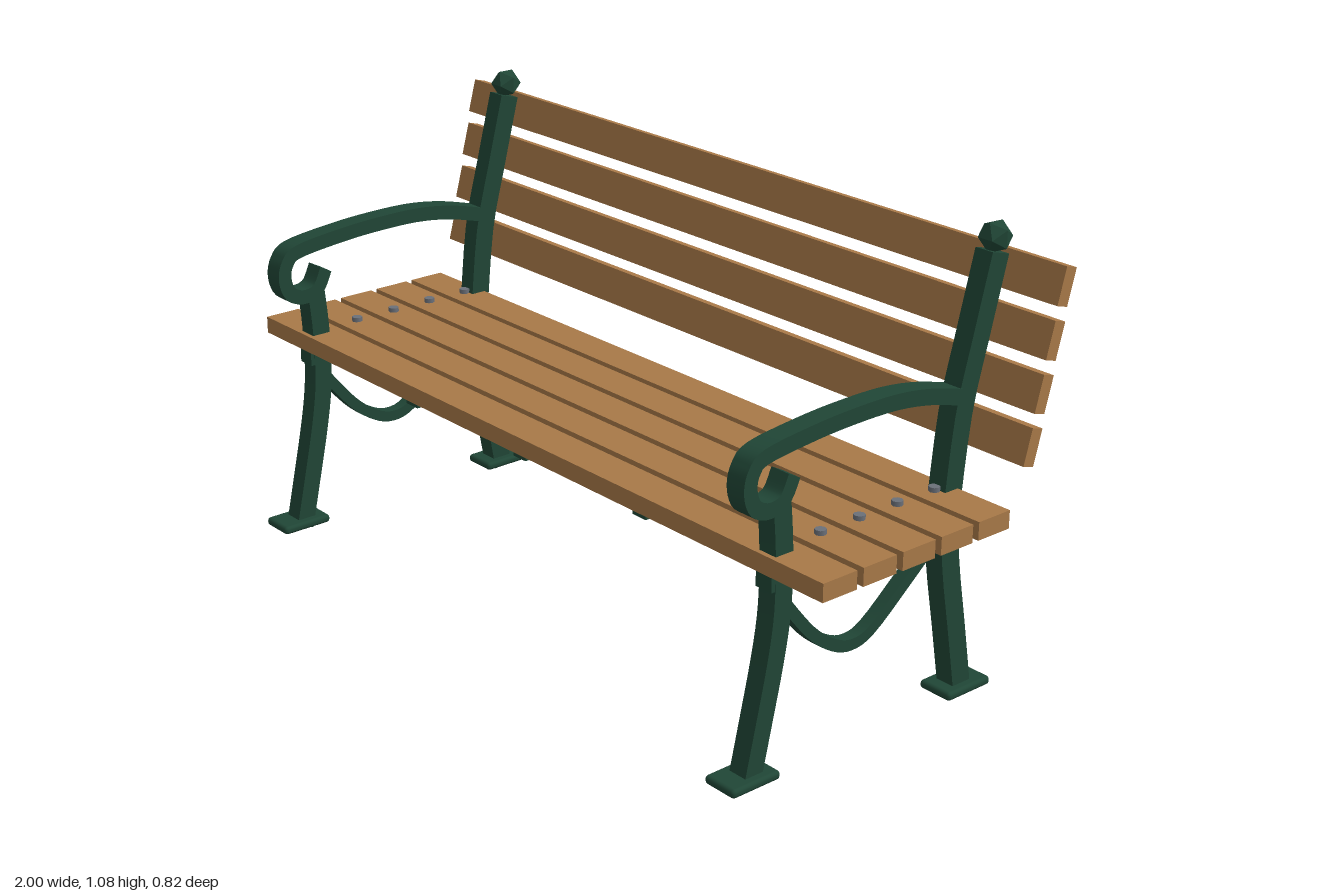
import * as THREE from 'three';
import { toCreasedNormals } from 'three/addons/utils/BufferGeometryUtils.js';
import { RoundedBoxGeometry } from 'three/addons/geometries/RoundedBoxGeometry.js';

const iron = new THREE.MeshStandardMaterial({ name: 'green iron', color: 0x204636 });
const wood = new THREE.MeshStandardMaterial({ name: 'brown wood', color: 0xa87948 });
const steel = new THREE.MeshStandardMaterial({ name: 'grey steel', color: 0x6b7079 });

function add(parent, name, geometry, material, x = 0, y = 0, z = 0) {
  const mesh = new THREE.Mesh(geometry, material);
  mesh.name = name;
  mesh.position.set(x, y, z);
  parent.add(mesh);
  return mesh;
}

// Flat bar following a smooth path of [z, y] points, centred on x = 0
function bar(path, width, depth, samples = 20) {
  const curve = new THREE.SplineCurve(path.map(([z, y]) => new THREE.Vector2(-z, y)));
  const near = [], far = [];
  for (let i = 0; i <= samples; i++) {
    const p = curve.getPoint(i / samples);
    const t = curve.getTangent(i / samples);
    const n = new THREE.Vector2(-t.y, t.x).multiplyScalar(width / 2);
    near.push(p.clone().add(n));
    far.unshift(p.clone().sub(n));
  }
  const shape = new THREE.Shape([...near, ...far]);
  const geometry = new THREE.ExtrudeGeometry(shape, { depth, bevelEnabled: false });
  geometry.translate(0, 0, -depth / 2).rotateY(Math.PI / 2);
  return toCreasedNormals(geometry, 0.6);
}

const frontLegPath = [[0.338, 0.004], [0.31, 0.13], [0.282, 0.26], [0.266, 0.36], [0.262, 0.45], [0.265, 0.54], [0.273, 0.625]];
const rearPostPath = [[-0.295, 0.004], [-0.265, 0.17], [-0.237, 0.32], [-0.227, 0.42], [-0.232, 0.52], [-0.252, 0.69], [-0.29, 0.84], [-0.336, 1.015]];
const armPath = [[-0.24, 0.719], [-0.139, 0.745], [-0.04, 0.758], [0.074, 0.759], [0.188, 0.753], [0.318, 0.737],
  [0.352, 0.712], [0.361, 0.673], [0.346, 0.633], [0.307, 0.617], [0.267, 0.63], [0.243, 0.675]];
const bracePath = [[0.255, 0.4], [0.173, 0.302], [0.105, 0.25], [0.048, 0.233], [-0.01, 0.25], [-0.11, 0.328], [-0.22, 0.42]];

// One cast end frame
function endFrame(name, x) {
  const frame = new THREE.Group();
  frame.name = name;
  frame.position.x = x;
  add(frame, 'frontLeg', bar(frontLegPath, 0.048, 0.048), iron);
  add(frame, 'rearPost', bar(rearPostPath, 0.053, 0.048), iron);
  add(frame, 'armrest', bar(armPath, 0.036, 0.05, 48), iron);
  add(frame, 'curvedBrace', bar(bracePath, 0.027, 0.03, 24), iron);
  add(frame, 'seatRail', new THREE.BoxGeometry(0.046, 0.055, 0.545), iron, 0, 0.46, 0.024);
  for (const z of [0.342, -0.297]) {
    add(frame, 'footPlate', new RoundedBoxGeometry(0.09, 0.021, 0.134, 2, 0.009), iron, 0, 0.019, z);
  }
  const finial = add(frame, 'finial', new THREE.IcosahedronGeometry(0.038, 0), iron, 0, 1.044, -0.343);
  finial.rotation.y = Math.PI / 2;
  return frame;
}

export function createModel() {
  const bench = new THREE.Group();
  bench.name = 'bench';
  const frameX = 0.83;
  bench.add(endFrame('leftFrame', frameX), endFrame('rightFrame', -frameX));

  // Seat slats and their bolts; the front bolts sit inside the legs
  for (let i = 0; i < 5; i++) {
    const z = 0.252 - i * 0.112;
    add(bench, 'seatSlat', new THREE.BoxGeometry(2, 0.042, 0.094), wood, 0, 0.489, z);
    if (i === 0) continue;
    for (const x of [-frameX, frameX]) {
      add(bench, 'seatBolt', new THREE.CylinderGeometry(0.013, 0.013, 0.016, 8), steel, x, 0.513, z);
    }
  }

  // Bars under the seat
  for (const x of [-0.415, 0, 0.415]) {
    add(bench, 'seatSupport', new THREE.BoxGeometry(0.044, 0.046, 0.49), iron, x, 0.463, 0.025);
  }

  // Leaning back slats with bolts behind
  for (let i = 0; i < 4; i++) {
    const row = new THREE.Group();
    row.name = 'backRow';
    row.position.set(0, 0.971 - i * 0.1122, -0.376 + i * 0.0243);
    row.rotation.x = -0.265;
    add(row, 'backSlat', new THREE.BoxGeometry(2, 0.084, 0.032), wood);
    for (const x of [-frameX, frameX]) {
      const bolt = add(row, 'backBolt', new THREE.CylinderGeometry(0.013, 0.013, 0.016, 8), steel, x, 0.006, -0.02);
      bolt.rotation.x = Math.PI / 2;
    }
    bench.add(row);
  }
  return bench;
}
